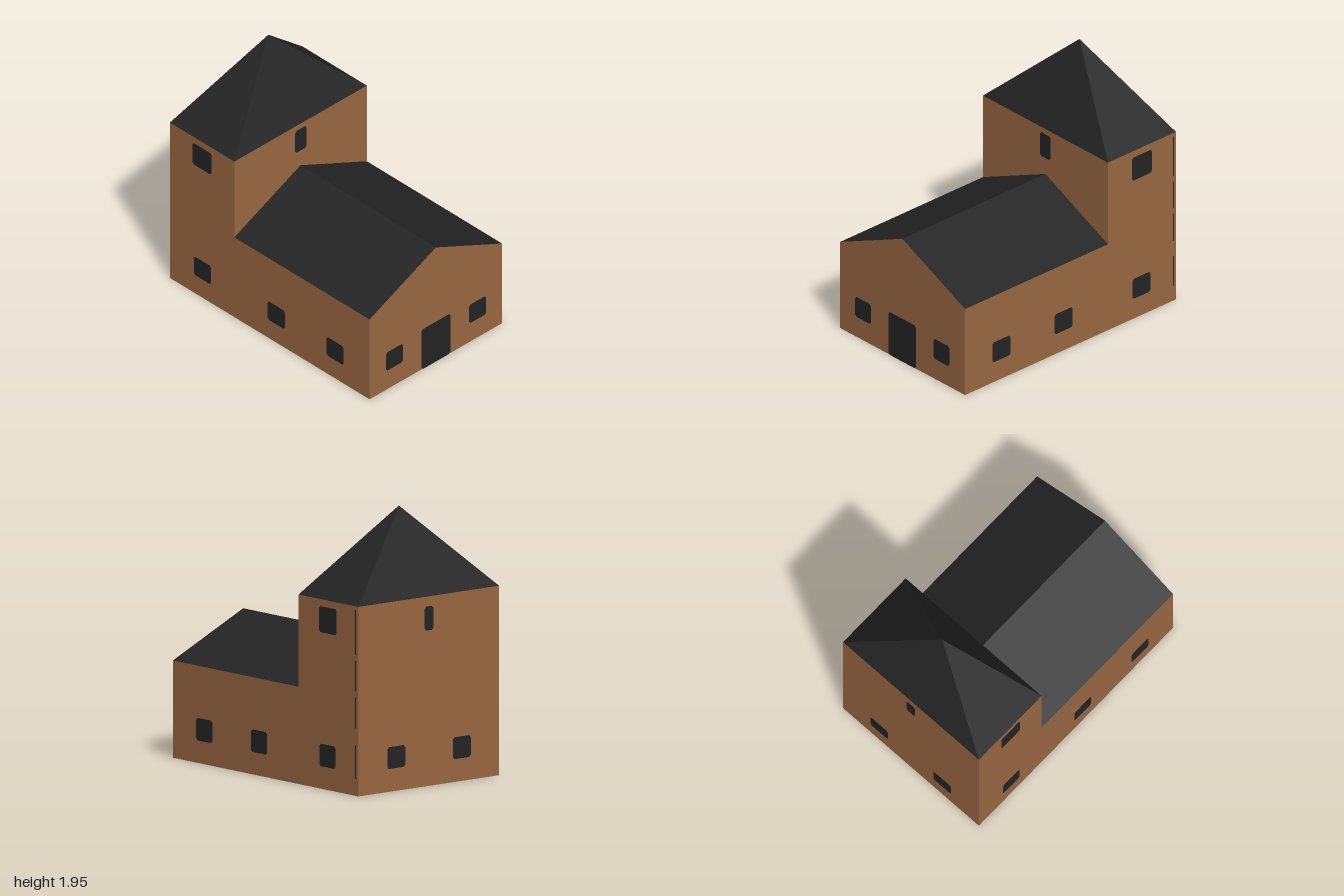
import * as THREE from 'three';

const W = 0.645, EAVE = 0.69, RIDGE = 0.985;      // half width, nave heights
const TZ = -0.355, TH = 1.345, APEX = 1.945;      // tower front, wall height, roof tip

export function createModel() {
  const brick = new THREE.MeshStandardMaterial({ color: 0x9a6842 });
  brick.name = 'brick';
  const slate = new THREE.MeshStandardMaterial({ color: 0x242424 });
  slate.name = 'darkSlate';
  const model = new THREE.Group();
  model.name = 'church';

  const add = (name, geometry, material) => {
    const mesh = new THREE.Mesh(geometry, material);
    mesh.name = name;
    model.add(mesh);
    return mesh;
  };

  // Walls: brick sides, dark underside
  const walls = (name, z0, z1, h) => {
    const g = new THREE.BoxGeometry(2 * W, h, z1 - z0).translate(0, h / 2, (z0 + z1) / 2);
    add(name, g, [brick, brick, brick, slate, brick, brick]);
  };
  walls('naveWalls', TZ, 1, EAVE);
  walls('towerWalls', -1, TZ, TH);

  // Nave roof: brick gable ends, slate slopes
  const gable = new THREE.Shape([
    new THREE.Vector2(-W, EAVE), new THREE.Vector2(W, EAVE), new THREE.Vector2(0, RIDGE),
  ]);
  add('naveRoof', new THREE.ExtrudeGeometry(gable, { depth: 1 - TZ, bevelEnabled: false })
    .translate(0, 0, TZ), [brick, slate]);

  // Tower roof: four-sided pyramid
  const pyramid = new THREE.ConeGeometry(Math.SQRT1_2, APEX - TH, 4).toNonIndexed();
  pyramid.rotateY(Math.PI / 4).scale(2 * W, 1, 1 + TZ);
  pyramid.translate(0, (TH + APEX) / 2, (TZ - 1) / 2);
  pyramid.computeVertexNormals();
  add('towerRoof', pyramid, slate);

  // Flat plates with clipped corners, laid just proud of a wall
  const plate = (name, w, h, x, y, z, turn) => {
    const a = w / 2, b = h / 2, c = Math.min(0.015, w / 4);
    const s = new THREE.Shape([
      [-a + c, -b], [a - c, -b], [a, -b + c], [a, b - c],
      [a - c, b], [-a + c, b], [-a, b - c], [-a, -b + c],
    ].map(([u, v]) => new THREE.Vector2(u, v)));
    const mesh = add(name, new THREE.ShapeGeometry(s), slate);
    mesh.position.set(x, y, z);
    mesh.rotation.y = turn;
  };
  const E = 0.003;

  // Front door and windows
  plate('door', 0.28, 0.345, 0, 0.1725, 1 + E, 0);
  plate('towerFrontWindow', 0.11, 0.19, 0, 1.21, TZ + E, 0);
  plate('towerBackWindow', 0.08, 0.17, 0, 1.19, -1 - E, Math.PI);
  for (const s of [-1, 1]) {
    plate('frontWindow', 0.165, 0.16, s * 0.405, 0.242, 1 + E, 0);
    plate('backWindow', 0.165, 0.155, s * 0.3, 0.24, -1 - E, Math.PI);
    // Side windows
    const x = s * (W + E), turn = s * Math.PI / 2;
    for (const z of [0.658, 0.068, -0.67]) plate('sideWindow', 0.173, 0.16, x, 0.24, z, turn);
    plate('towerSideWindow', 0.19, 0.185, x, 1.203, -0.675, turn);
  }

  // Narrow dark slits beside one rear corner
  for (const [y0, y1] of [[0.12, 0.36], [0.48, 0.7], [0.74, 0.96], [1.0, 1.32]])
    plate('cornerSlit', 0.01, y1 - y0, W + E, (y0 + y1) / 2, -0.972, Math.PI / 2);

  return model;
}
